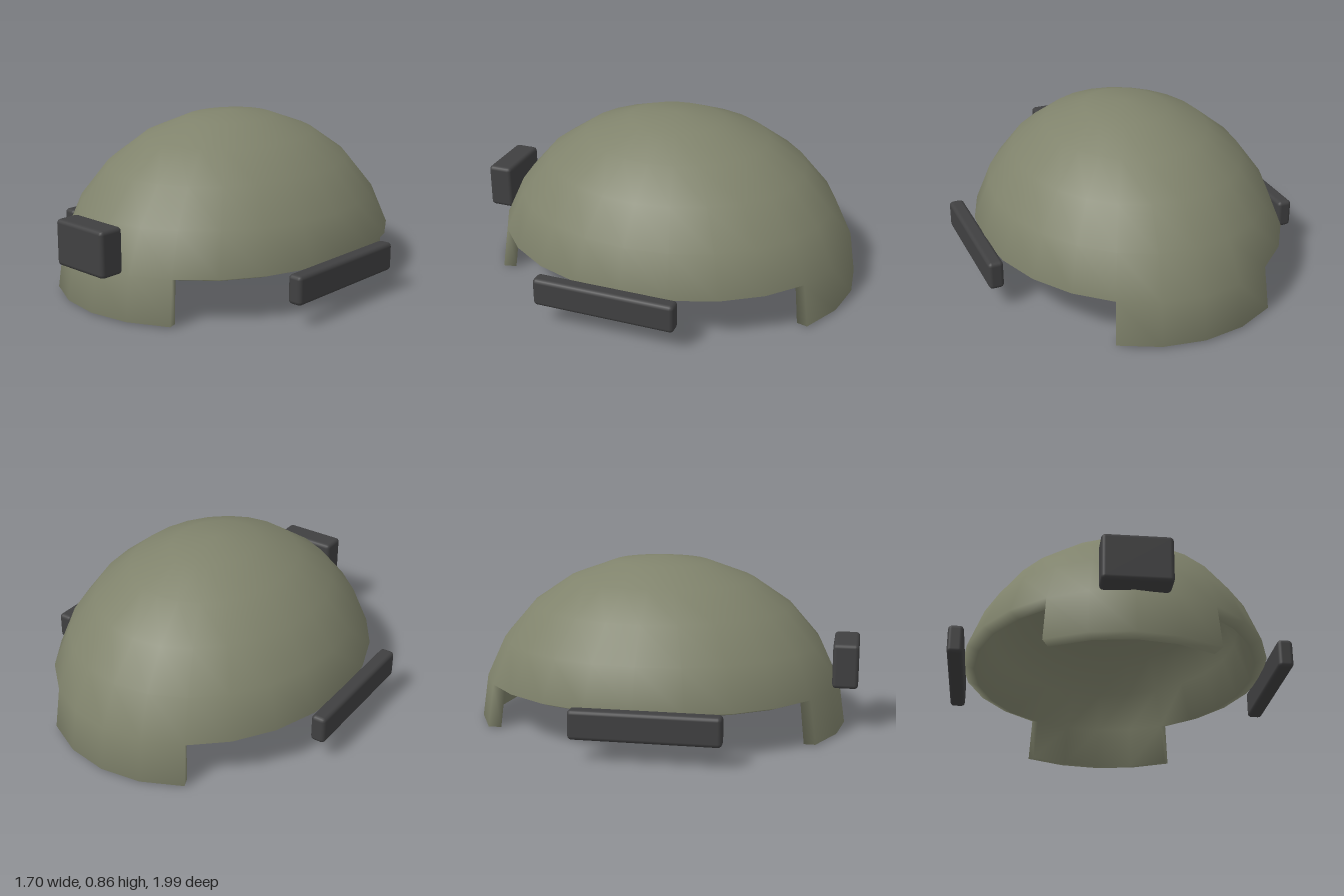
import * as THREE from 'three';
import { RoundedBoxGeometry } from 'three/addons/geometries/RoundedBoxGeometry.js';

const SEGMENTS = 24, RINGS = 6;
const RX = 0.815, RY = 0.855, RZ = 0.965, THICKNESS = 0.065;

// Half ellipsoid whose lowest ring survives only as front and back flaps
function outerShell() {
  const points = [0, RY, 0], faces = [];
  const id = (ring, seg) => (ring === 0 ? 0 : 1 + (ring - 1) * SEGMENTS + (seg % SEGMENTS));
  for (let i = 1; i <= RINGS; i++) {
    const t = (i / RINGS) * Math.PI / 2;
    for (let j = 0; j < SEGMENTS; j++) {
      const p = (j / SEGMENTS) * Math.PI * 2;
      points.push(RX * Math.sin(t) * Math.sin(p), RY * Math.cos(t), RZ * Math.sin(t) * Math.cos(p));
    }
  }
  for (let i = 0; i < RINGS; i++) {
    for (let j = 0; j < SEGMENTS; j++) {
      const isFlap = j < 2 || j >= 22 || (j >= 10 && j < 14);
      if (i === RINGS - 1 && !isFlap) continue;
      const a = id(i, j), b = id(i + 1, j), c = id(i + 1, j + 1), d = id(i, j + 1);
      faces.push(a, b, c);
      if (i > 0) faces.push(a, c, d);
    }
  }
  return { points, faces };
}

// Gives an open surface an inner wall and a rim along its open edges
function thicken({ points, faces }, depth) {
  const skin = new THREE.BufferGeometry();
  skin.setAttribute('position', new THREE.Float32BufferAttribute(points, 3));
  skin.setIndex(faces);
  skin.computeVertexNormals();
  const normals = skin.attributes.normal.array;
  const count = points.length / 3;
  const allPoints = [...points, ...points.map((v, k) => v - normals[k] * depth)];
  const allFaces = [...faces];
  const edges = new Set();
  for (let f = 0; f < faces.length; f += 3) {
    const [a, b, c] = faces.slice(f, f + 3);
    allFaces.push(a + count, c + count, b + count);
    for (const [m, n] of [[a, b], [b, c], [c, a]]) edges.add(`${m},${n}`);
  }
  for (const edge of edges) {
    const [a, b] = edge.split(',').map(Number);
    if (edges.has(`${b},${a}`)) continue;
    allFaces.push(b, a, a + count, b, a + count, b + count);
  }
  const solid = new THREE.BufferGeometry();
  solid.setAttribute('position', new THREE.Float32BufferAttribute(allPoints, 3));
  solid.setIndex(allFaces);
  solid.computeVertexNormals();
  return solid.toNonIndexed();
}

export function createModel() {
  const olive = new THREE.MeshStandardMaterial({ color: 0x80836c });
  olive.name = 'olive shell';
  const charcoal = new THREE.MeshStandardMaterial({ color: 0x404041 });
  charcoal.name = 'charcoal fittings';

  const helmet = new THREE.Group();
  helmet.name = 'helmet';

  // Shell
  const shell = new THREE.Mesh(thicken(outerShell(), THICKNESS), olive);
  shell.name = 'shell';
  shell.position.set(0, 0.01, -0.03);
  helmet.add(shell);

  // Bevelled fittings
  const addBlock = (name, size, position) => {
    const block = new THREE.Mesh(new RoundedBoxGeometry(...size, 2, 0.02), charcoal);
    block.name = name;
    block.position.set(...position);
    helmet.add(block);
  };
  addBlock('frontMount', [0.33, 0.23, 0.13], [0, 0.345, 0.935]);
  for (const side of [1, -1]) {
    addBlock(side > 0 ? 'leftRail' : 'rightRail', [0.077, 0.145, 0.73], [side * 0.81, 0.182, 0.036]);
  }
  return helmet;
}
